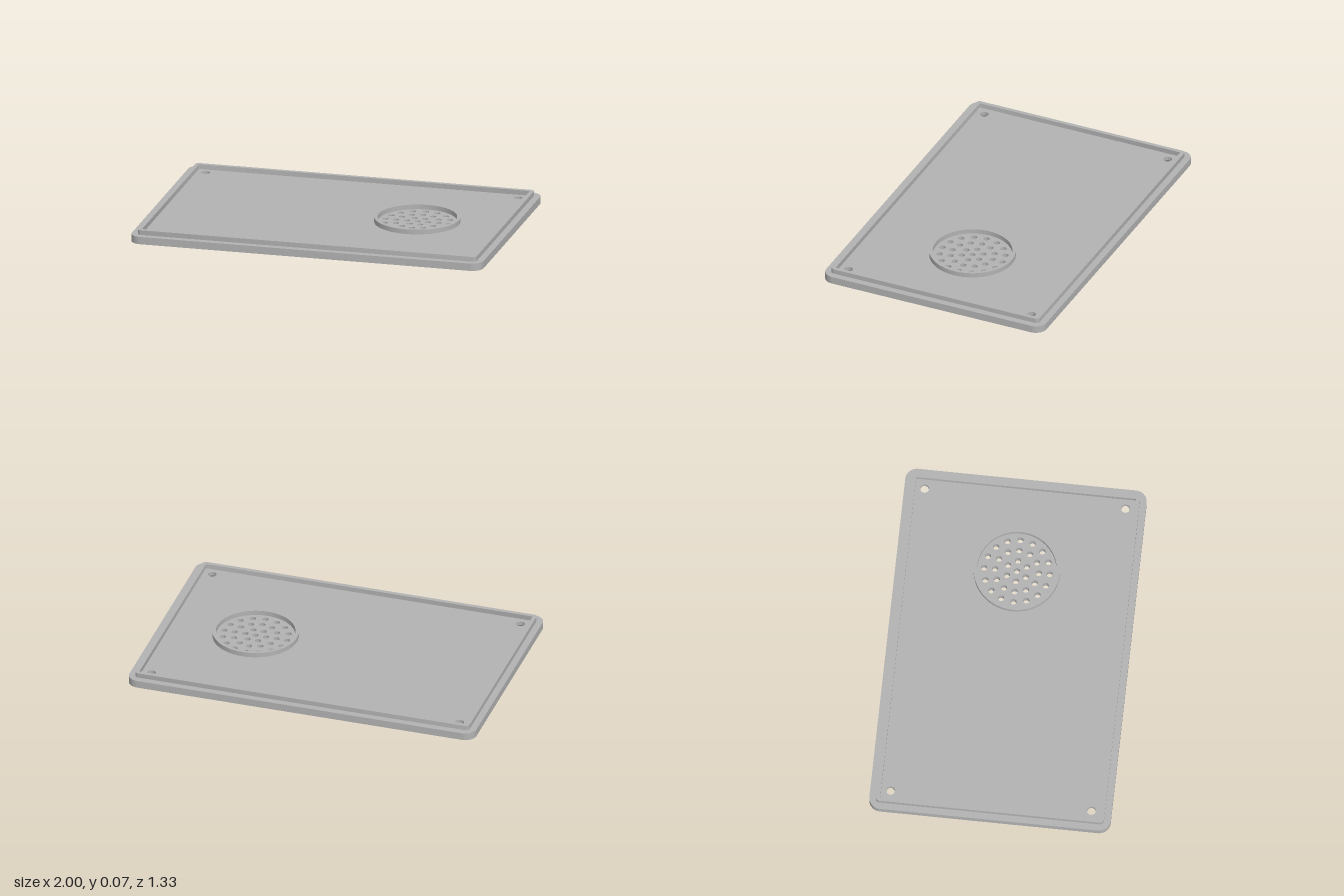
import * as THREE from 'three';
import { mergeGeometries, toCreasedNormals } from 'three/addons/utils/BufferGeometryUtils.js';

const PLATE_TOP = 0.042, RIM_TOP = 0.069;
const SEG = 16; // gives 32 sides per full circle

// Rounded rectangle outline from half sizes, as a Shape or a hole Path
function roundedRect(hx, hz, r, Type = THREE.Shape) {
  const p = new Type();
  p.moveTo(-hx + r, -hz);
  p.lineTo(hx - r, -hz);
  p.absarc(hx - r, -hz + r, r, -Math.PI / 2, 0, false);
  p.lineTo(hx, hz - r);
  p.absarc(hx - r, hz - r, r, 0, Math.PI / 2, false);
  p.lineTo(-hx + r, hz);
  p.absarc(-hx + r, hz - r, r, Math.PI / 2, Math.PI, false);
  p.lineTo(-hx, -hz + r);
  p.absarc(-hx + r, -hz + r, r, Math.PI, Math.PI * 1.5, false);
  return p;
}

function circle(x, y, r, Type = THREE.Path) {
  const p = new Type();
  p.absarc(x, y, r, 0, Math.PI * 2, false);
  return p;
}

// Upright extrusion of a floor-plan shape
function extrudeUp(shape, y, height) {
  const g = new THREE.ExtrudeGeometry(shape, { depth: height, bevelEnabled: false, curveSegments: SEG });
  return g.rotateX(-Math.PI / 2).translate(0, y, 0);
}

// Only the side walls of an extrusion
function walls(shape, height) {
  const g = extrudeUp(shape, 0, height);
  const { start, count } = g.groups[1];
  const out = new THREE.BufferGeometry();
  for (const [name, a] of Object.entries(g.attributes)) {
    const part = a.array.slice(start * a.itemSize, (start + count) * a.itemSize);
    out.setAttribute(name, new THREE.BufferAttribute(part, a.itemSize));
  }
  return out;
}

const flatFace = (shape, y, angle) =>
  new THREE.ShapeGeometry(shape, SEG).rotateX(angle).translate(0, y, 0).toNonIndexed();

export function createModel() {
  const group = new THREE.Group();
  const grey = new THREE.MeshStandardMaterial({ color: 0xb2b2b2 });
  grey.name = 'grey plastic';

  const add = (name, geometry) => {
    const mesh = new THREE.Mesh(toCreasedNormals(geometry, 0.5), grey);
    mesh.name = name;
    group.add(mesh);
  };

  // Grille holes: a centre hole and three rings
  const grilleX = 0.463;
  const grille = [circle(grilleX, 0, 0.017)];
  [[0.06, 6], [0.121, 12], [0.181, 16]].forEach(([r, n]) => {
    for (let i = 0; i < n; i++) {
      const a = (i / n) * Math.PI * 2;
      grille.push(circle(grilleX + r * Math.cos(a), r * Math.sin(a), 0.017));
    }
  });

  // Screw positions in the four corners
  const screws = [];
  for (const x of [-0.888, 0.888]) for (const z of [-0.555, 0.555]) screws.push([x, z]);
  const screwTop = 0.024, screwBottom = 0.037;

  // Base plate: top and bottom faces, outer and grille walls, countersunk bores
  const plan = (screwRadius) => {
    const s = roundedRect(1, 0.667, 0.065);
    s.holes.push(...grille);
    if (screwRadius) screws.forEach(([x, z]) => s.holes.push(circle(x, z, screwRadius)));
    return s;
  };
  const parts = [
    flatFace(plan(screwTop), PLATE_TOP, -Math.PI / 2),
    flatFace(plan(screwBottom), 0, Math.PI / 2),
    walls(plan(0), PLATE_TOP),
  ];
  const bore = [[screwTop, PLATE_TOP], [screwTop, 0.02], [screwBottom, 0]].map((p) => new THREE.Vector2(...p));
  for (const [x, z] of screws) {
    parts.push(new THREE.LatheGeometry(bore, SEG * 2).translate(x, 0, z).toNonIndexed());
  }
  add('basePlate', mergeGeometries(parts));

  // Raised lip around the plate
  const lip = roundedRect(0.963, 0.63, 0.022);
  lip.holes.push(roundedRect(0.941, 0.607, 0.004, THREE.Path));
  add('lip', extrudeUp(lip, PLATE_TOP, RIM_TOP - PLATE_TOP));

  // Raised ring around the grille
  const ring = new THREE.Shape();
  ring.absarc(grilleX, 0, 0.238, 0, Math.PI * 2, false);
  ring.holes.push(circle(grilleX, 0, 0.219));
  const ringGeometry = new THREE.ExtrudeGeometry(ring, { depth: RIM_TOP - PLATE_TOP, bevelEnabled: false, curveSegments: 32 });
  add('grilleRing', ringGeometry.rotateX(-Math.PI / 2).translate(0, PLATE_TOP, 0));

  return group;
}
